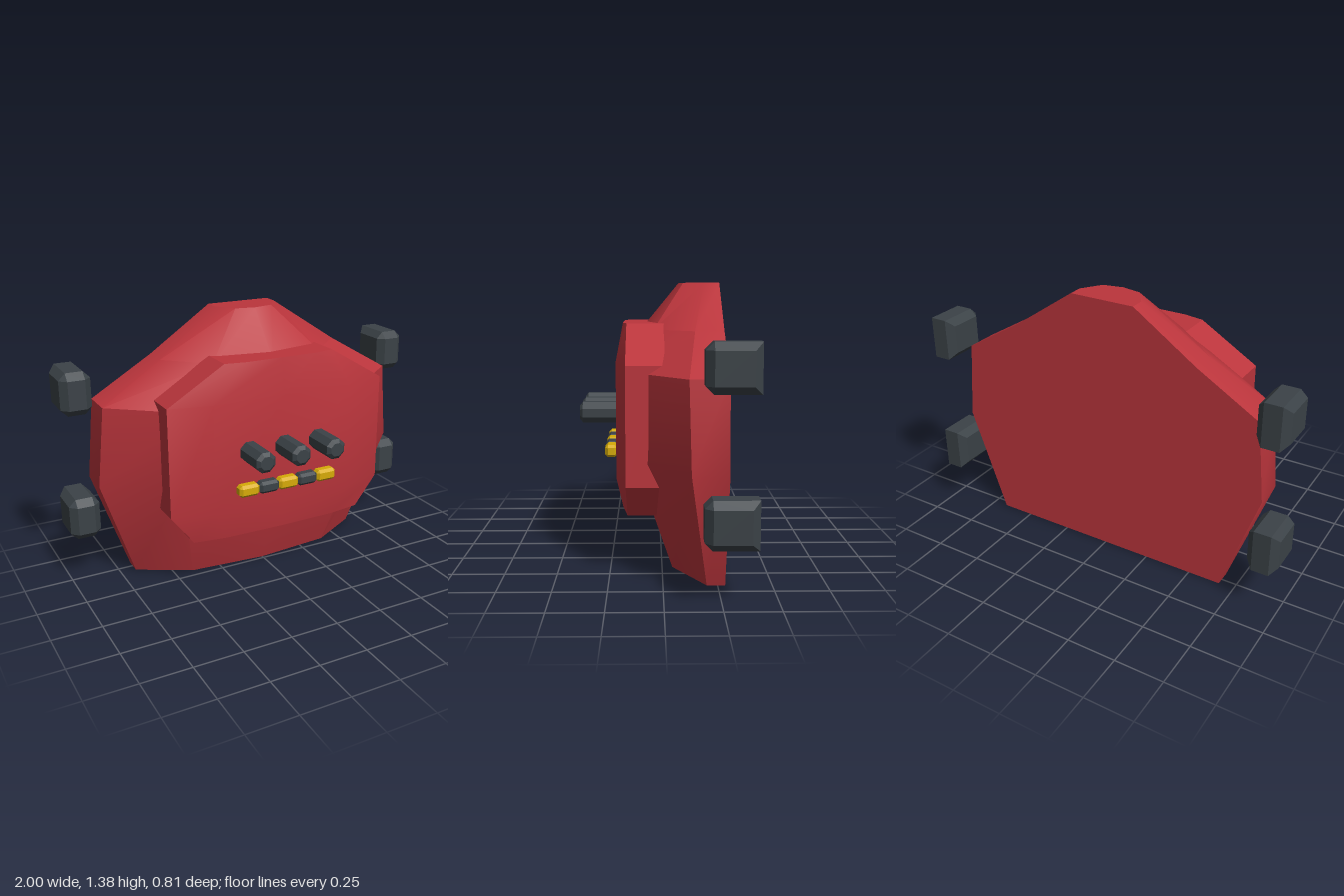
import * as THREE from 'three';
import { toCreasedNormals } from 'three/addons/utils/BufferGeometryUtils.js';
import { ConvexGeometry } from 'three/addons/geometries/ConvexGeometry.js';

const material = (name, color) => {
  const m = new THREE.MeshStandardMaterial({ color });
  m.name = name;
  return m;
};

// Loft upwards through rows of [y, halfWidth, rimZ, shoulderZ, centreZ] with a flat back
function faceted(rows, backZ, shoulder) {
  const points = [], index = [], n = 7;
  for (const [y, w, rim, mid, centre] of rows) {
    const s = w * shoulder;
    for (const [x, z] of [[-w, backZ], [-w, rim], [-s, mid], [0, centre], [s, mid], [w, rim], [w, backZ]]) {
      points.push(x, y, z);
    }
  }
  for (let i = 0; i < rows.length - 1; i++) {
    for (let j = 0; j < n; j++) {
      const a = i * n + j, b = i * n + (j + 1) % n;
      index.push(a, b, b + n, a, b + n, a + n);
    }
  }
  // Bottom and top caps
  const top = (rows.length - 1) * n;
  for (let j = 1; j < n - 1; j++) {
    index.push(0, j + 1, j, top, top + j, top + j + 1);
  }
  const g = new THREE.BufferGeometry();
  g.setAttribute('position', new THREE.Float32BufferAttribute(points, 3));
  g.setIndex(index);
  return toCreasedNormals(g, 0.5);
}

// Box with chamfered edges; optionally the upper and lower back edges stay square
function chamferBox(w, h, d, c, squareBack = false) {
  const a = w / 2, b = h / 2, e = d / 2, pts = [];
  for (const x of [-1, 1]) for (const y of [-1, 1]) for (const z of [-1, 1]) {
    const add = (px, py, pz) => pts.push(new THREE.Vector3(x * px, y * py, z * pz));
    add(a, b - c, e - c);
    if (squareBack && z < 0) {
      add(a - c, b, e);
    } else {
      add(a - c, b, e - c);
      add(a - c, b - c, e);
    }
  }
  return new ConvexGeometry(pts);
}

export function createModel() {
  const red = material('red shell', 0xbb353c);
  const dark = material('dark grey', 0x3b4247);
  const yellow = material('yellow', 0xd6ab08);
  const model = new THREE.Group();
  model.name = 'model';

  const add = (name, geometry, mat, x = 0, y = 0, z = 0, parent = model) => {
    const mesh = new THREE.Mesh(geometry, mat);
    mesh.name = name;
    mesh.position.set(x, y, z);
    parent.add(mesh);
    return mesh;
  };

  // Main shell
  add('shell', faceted([
    [0, 0.67, -0.2, -0.05, -0.015],
    [0.55, 0.86, -0.12, 0.13, 0.17],
    [0.96, 0.82, -0.11, 0.15, 0.18],
    [1.15, 0.5, -0.15, 0.04, 0.095],
    [1.375, 0.17, -0.21, -0.11, -0.09],
  ], -0.285, 0.6), red);

  // Raised front plate
  add('frontPlate', faceted([
    [0.28, 0.48, 0.165, 0.19, 0.195],
    [0.44, 0.6, 0.17, 0.22, 0.22],
    [1.0, 0.6, 0.17, 0.22, 0.22],
    [1.18, 0.3, 0.17, 0.19, 0.19],
  ], -0.01, 0.64), red);

  // Four corner blocks
  const block = chamferBox(0.157, 0.218, 0.235, 0.035, true);
  for (const [side, x] of [['left', 0.92], ['right', -0.92]]) {
    add(side + 'UpperBlock', block, dark, x, 1.02, -0.287);
    add(side + 'LowerBlock', block, dark, x, 0.36, -0.287);
  }

  // Three octagonal pegs with chamfered tips
  const octagon = (tip, base, length) => new THREE.CylinderGeometry(tip, base, length, 8)
    .rotateY(Math.PI / 8).rotateX(Math.PI / 2).toNonIndexed();
  const shaft = octagon(0.055, 0.055, 0.18);
  const tip = octagon(0.036, 0.055, 0.015);
  shaft.computeVertexNormals();
  tip.computeVertexNormals();
  for (const x of [-0.195, 0, 0.195]) {
    const peg = new THREE.Group();
    peg.name = 'peg';
    peg.position.set(x, 0.737, 0.3);
    model.add(peg);
    add('pegShaft', shaft, dark, 0, 0, 0, peg);
    add('pegTip', tip, dark, 0, 0, 0.0975, peg);
  }

  // Striped bar of alternating segments
  const segment = chamferBox(0.11, 0.062, 0.06, 0.014);
  for (let i = -2; i <= 2; i++) {
    add('barSegment', segment, i % 2 ? dark : yellow, i * 0.11, 0.55, 0.25);
  }

  return model;
}
